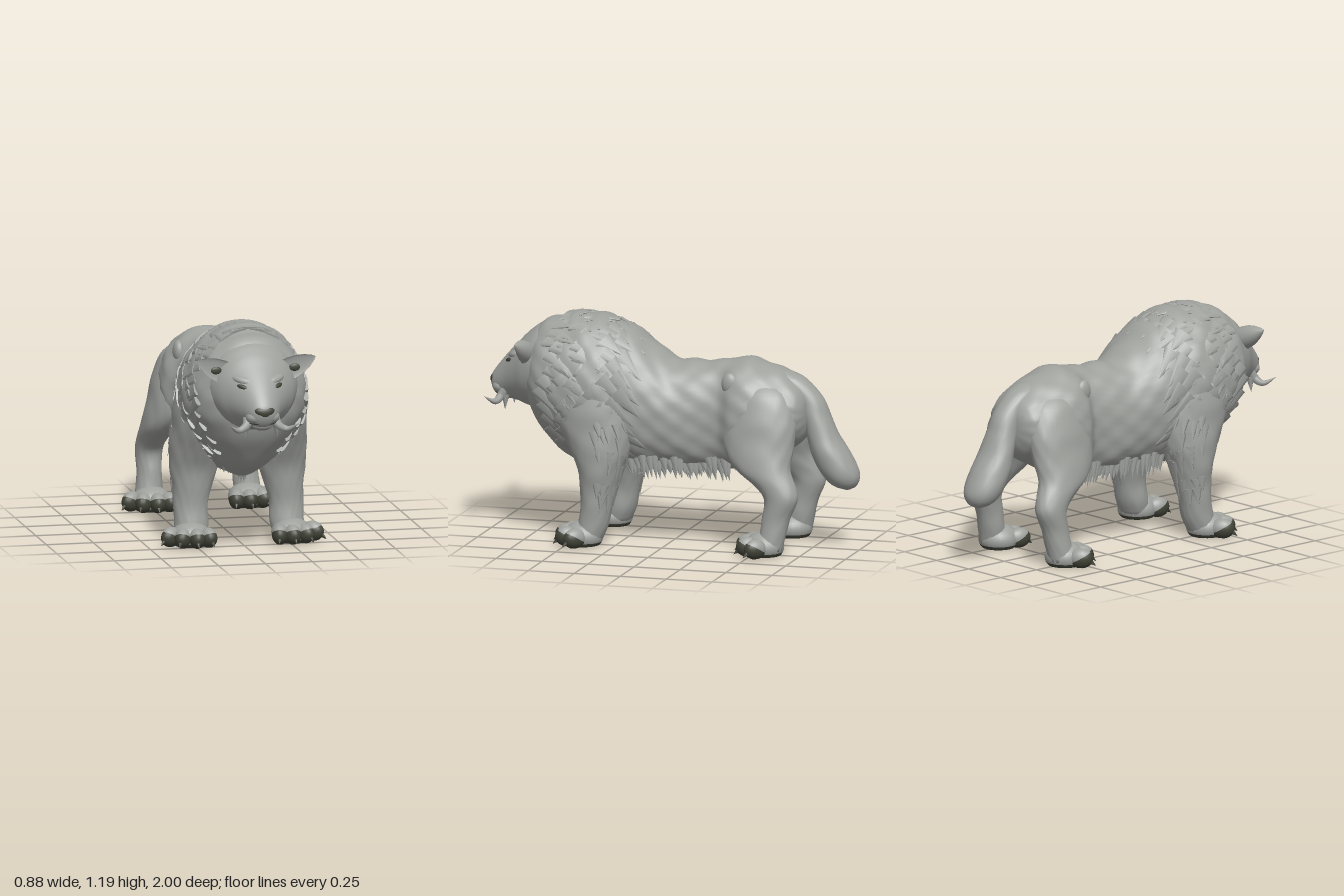
import * as THREE from 'three';
import { mergeGeometries } from 'three/addons/utils/BufferGeometryUtils.js';

const V = (x, y, z) => new THREE.Vector3(x, y, z);
let seed = 7;
const rnd = () => (seed = (seed * 16807) % 2147483647) / 2147483647;

// Smooth interpolation of a table of rows [t, aMin, aMax, bMin, bMax, keel]
function sample(rows, t) {
  let i = 0;
  while (i < rows.length - 2 && t > rows[i + 1][0]) i++;
  const p = rows[i], q = rows[i + 1], o = rows[Math.max(i - 1, 0)], r = rows[Math.min(i + 2, rows.length - 1)];
  const h = q[0] - p[0], u = (t - p[0]) / h, u2 = u * u, u3 = u2 * u;
  return [1, 2, 3, 4, 5].map(k => {
    const [pk, qk, ok, rk] = [p, q, o, r].map(row => row[k] ?? 0);
    const m0 = (qk - ok) / (q[0] - o[0]) * h, m1 = (rk - pk) / (r[0] - p[0]) * h;
    return (2 * u3 - 3 * u2 + 1) * pk + (u3 - 2 * u2 + u) * m0 + (3 * u2 - 2 * u3) * qk + (u3 - u2) * m1;
  });
}

// Point on a loft; axis z uses (x, y) rings, axis y uses (z, x) rings.
// A positive keel narrows the lower half of a ring, a negative one fills it out.
function surf(rows, axis, t, ang, bump = 0, scale = 1) {
  const [a0, a1, b0, b1, keel] = sample(rows, t);
  const s = Math.sin(ang), low = Math.min(s, 0), c = Math.cos(ang) * (1 - keel * low * low);
  const k = scale * (1 + bump * (Math.sin(31 * t + 5 * s) * Math.sin(9 * s + 8 * t) + 0.6 * Math.sin(17 * s - 40 * t)));
  const a = (a0 + a1) / 2 + (a1 - a0) / 2 * c * k, b = (b0 + b1) / 2 + (b1 - b0) / 2 * s * k;
  return axis === 'z' ? V(a, b, t) : V(b, t, a);
}

function loft(rows, axis, bump = 0, nt = 44, na = 40) {
  const pos = [], idx = [], t0 = rows[0][0], t1 = rows[rows.length - 1][0];
  for (let i = 0; i <= nt + 2; i++) {
    const t = t0 + (t1 - t0) * Math.min(Math.max(i - 1, 0), nt) / nt;
    const shrink = i === 0 || i === nt + 2 ? 0.001 : 1;
    for (let j = 0; j < na; j++) {
      pos.push(...surf(rows, axis, t, j / na * Math.PI * 2, bump, shrink).toArray());
      if (i === nt + 2) continue;
      const a = i * na + j, b = i * na + (j + 1) % na;
      idx.push(a, b, b + na, a, b + na, a + na);
    }
  }
  const g = new THREE.BufferGeometry();
  g.setAttribute('position', new THREE.Float32BufferAttribute(pos, 3));
  g.setIndex(idx);
  g.computeVertexNormals();
  return g;
}

function mirror(geo) {
  const g = geo.clone().scale(-1, 1, 1), ix = g.index.array;
  for (let i = 0; i < ix.length; i += 3) [ix[i], ix[i + 1]] = [ix[i + 1], ix[i]];
  return g;
}

// Cone from base to tip, flattened along the outward direction
function spike(base, tip, r, flat = 1, out = V(0, 0, 1), sides = 8) {
  const d = tip.clone().sub(base), len = d.length();
  d.normalize();
  const side = d.clone().cross(out).normalize(), n = side.clone().cross(d);
  const g = new THREE.ConeGeometry(r, len, sides, 1).translate(0, len / 2, 0).scale(1, 1, flat);
  return g.applyMatrix4(new THREE.Matrix4().makeBasis(side, d, n).setPosition(base));
}

// Ellipsoid, or a band of one between two polar angles, tilted about x
function blob(x, y, z, rx, ry, rz, from = 0, to = Math.PI, tilt = 0, yaw = 0, roll = 0) {
  return new THREE.SphereGeometry(1, 20, 12, 0, Math.PI * 2, from, to - from)
    .rotateX(tilt).scale(rx, ry, rz).rotateZ(roll).rotateY(yaw).translate(x, y, z);
}

// Tapered curved tube
function horn(points, r) {
  const curve = new THREE.CatmullRomCurve3(points), n = 16, m = 10;
  const g = new THREE.TubeGeometry(curve, n, r, m), p = g.attributes.position;
  for (let i = 0; i <= n; i++) {
    const c = curve.getPointAt(i / n), k = Math.max(0.03, 1 - Math.pow(i / n, 1.6));
    for (let j = 0; j <= m; j++) {
      const v = V().fromBufferAttribute(p, i * (m + 1) + j).sub(c).multiplyScalar(k).add(c);
      p.setXYZ(i * (m + 1) + j, v.x, v.y, v.z);
    }
  }
  g.computeVertexNormals();
  return g;
}

const BODY = [
  [-0.735, -0.09, 0.09, 0.64, 0.81], [-0.7, -0.165, 0.165, 0.57, 0.865], [-0.6, -0.205, 0.205, 0.5, 0.935],
  [-0.45, -0.243, 0.243, 0.43, 0.985, -0.1], [-0.36, -0.24, 0.24, 0.4, 0.99, -0.2], [-0.28, -0.19, 0.19, 0.395, 0.975, -0.3],
  [-0.1, -0.22, 0.22, 0.395, 0.96, -0.3], [0, -0.24, 0.24, 0.395, 0.97, -0.25], [0.1, -0.265, 0.265, 0.39, 1.03, -0.2],
  [0.2, -0.295, 0.295, 0.385, 1.1], [0.35, -0.335, 0.335, 0.365, 1.165, 0.25], [0.5, -0.335, 0.335, 0.375, 1.183, 0.4],
  [0.6, -0.31, 0.31, 0.435, 1.165, 0.4], [0.69, -0.275, 0.275, 0.53, 1.13, 0.35], [0.75, -0.2, 0.2, 0.62, 1.07, 0.2], [0.78, -0.1, 0.1, 0.7, 0.98]];
const HEAD = [
  [0.6, -0.24, 0.24, 0.68, 1.1], [0.7, -0.24, 0.24, 0.66, 1.12], [0.78, -0.205, 0.205, 0.67, 1.07],
  [0.84, -0.158, 0.158, 0.69, 1.01], [0.9, -0.112, 0.112, 0.7, 0.945], [0.95, -0.08, 0.08, 0.71, 0.885],
  [0.98, -0.056, 0.056, 0.735, 0.845], [0.995, -0.025, 0.025, 0.77, 0.82]];
const TAIL = [
  [0.32, -0.95, -0.92, -0.02, 0.02], [0.34, -0.985, -0.86, -0.065, 0.065], [0.4, -1, -0.8, -0.1, 0.1],
  [0.5, -0.955, -0.745, -0.11, 0.11], [0.6, -0.89, -0.72, -0.1, 0.1], [0.7, -0.845, -0.69, -0.085, 0.085],
  [0.8, -0.8, -0.64, -0.075, 0.075], [0.9, -0.7, -0.54, -0.07, 0.07], [0.935, -0.62, -0.52, -0.04, 0.04]];
const FORELEG = [
  [0.03, 0.32, 0.46, 0.18, 0.345], [0.1, 0.29, 0.45, 0.165, 0.345], [0.2, 0.27, 0.435, 0.165, 0.345],
  [0.3, 0.245, 0.44, 0.14, 0.35], [0.4, 0.215, 0.455, 0.11, 0.36], [0.5, 0.18, 0.5, 0.1, 0.363],
  [0.65, 0.17, 0.57, 0.1, 0.353], [0.8, 0.2, 0.59, 0.1, 0.335], [0.92, 0.3, 0.54, 0.12, 0.28], [0.97, 0.38, 0.46, 0.16, 0.22]];
const HINDLEG = [
  [0.03, -0.66, -0.52, 0.2, 0.34], [0.12, -0.68, -0.54, 0.19, 0.33], [0.2, -0.7, -0.55, 0.19, 0.32],
  [0.3, -0.74, -0.56, 0.18, 0.325], [0.36, -0.73, -0.51, 0.17, 0.32], [0.45, -0.69, -0.39, 0.13, 0.315],
  [0.55, -0.695, -0.325, 0.08, 0.295], [0.7, -0.7, -0.32, 0.03, 0.262], [0.83, -0.65, -0.36, 0.02, 0.215], [0.9, -0.56, -0.43, 0.04, 0.14]];

export function createModel() {
  const root = new THREE.Group();
  root.name = 'maneBeast';
  const fur = new THREE.MeshStandardMaterial({ color: 0x9fa19d });
  fur.name = 'grey fur';
  const dark = new THREE.MeshStandardMaterial({ color: 0x424438 });
  dark.name = 'dark skin';
  const add = (name, geo, mat = fur) => {
    const mesh = new THREE.Mesh(geo, mat);
    mesh.name = name;
    root.add(mesh);
  };
  const pair = (name, geo, mat) => {
    add('left' + name, geo, mat);
    add('right' + name, mirror(geo), mat);
  };

  // Torso, head and tail
  add('torso', loft(BODY, 'z', 0.016, 90, 64));
  add('head', loft(HEAD, 'z'));
  add('tail', loft(TAIL, 'y', 0.01));

  // Face
  pair('MuzzlePad', blob(0.038, 0.768, 0.935, 0.052, 0.038, 0.047));
  pair('Brow', blob(0.078, 0.945, 0.838, 0.07, 0.026, 0.04, 0, Math.PI, 0, 0.6, 0.2));
  pair('Eye', blob(0.09, 0.916, 0.877, 0.036, 0.013, 0.014, 0, Math.PI, 0, 0.6, 0.25), dark);
  add('chin', blob(0, 0.722, 0.92, 0.055, 0.03, 0.045));
  const nose = new THREE.SphereGeometry(1, 20, 12).scale(0.05, 0.032, 0.024), np = nose.attributes.position;
  for (let i = 0; i < np.count; i++) np.setX(i, np.getX(i) * (1 + np.getY(i) * 14));
  nose.computeVertexNormals();
  add('nose', nose.translate(0, 0.797, 0.977), dark);
  pair('MouthLine', new THREE.TubeGeometry(new THREE.CatmullRomCurve3(
    [V(0, 0.75, 0.977), V(0.035, 0.737, 0.966), V(0.075, 0.74, 0.93)]), 12, 0.006, 6), dark);
  pair('Tusk', horn([V(0.07, 0.765, 0.9), V(0.085, 0.72, 0.925), V(0.13, 0.7, 0.94), V(0.185, 0.735, 0.985)], 0.026));
  pair('Fang', spike(V(0.075, 0.73, 0.9), V(0.085, 0.65, 0.9), 0.022));

  // Ears, hollowed at the front
  const ear = new THREE.LatheGeometry([[0.06, -0.05], [0.06, 0], [0.053, 0.05], [0.036, 0.095], [0.015, 0.13], [0, 0.145]]
    .map(p => new THREE.Vector2(...p)), 24);
  const ep = ear.attributes.position;
  for (let i = 0; i < ep.count; i++) if (ep.getZ(i) > 0) ep.setZ(i, -ep.getZ(i) * 0.2);
  ear.computeVertexNormals();
  pair('Ear', ear.rotateZ(-1.13).rotateY(-0.1).translate(0.187, 0.985, 0.768));
  pair('InnerEar', blob(0.21, 0.988, 0.76, 0.03, 0.02, 0.009), dark);

  // Mane locks lying flat and sweeping back and down
  const locks = [];
  [0.62, 0.55, 0.46, 0.36, 0.25].forEach((z, row) => {
    for (let a = -0.8 + (row % 2) * 0.12; a < 1.56; a += 0.2) {
      const zz = z + (rnd() - 0.5) * 0.08, aa = a + (rnd() - 0.5) * 0.1;
      const base = surf(BODY, 'z', zz, aa, 0, 0.975);
      const tip = surf(BODY, 'z', zz - 0.1 - rnd() * 0.07, aa - (0.2 + rnd() * 0.15) * Math.cos(aa), 0, 1.018);
      locks.push(spike(base, tip, 0.045 + rnd() * 0.015, 0.3, V(Math.cos(aa), Math.sin(aa), 0), 10));
    }
  });
  pair('ManeLocks', mergeGeometries(locks));

  // Ragged fringe along the belly and chest
  const fringe = [];
  for (let z = 0.22; z > -0.33; z -= 0.012) {
    const base = surf(BODY, 'z', z, -0.8 - rnd() * 0.3, 0, 0.96);
    fringe.push(spike(base, V(base.x + 0.008, 0.345 + rnd() * 0.05, z - 0.02), 0.026, 0.45, V(1, 0, 0)));
  }
  for (let i = 0; i < 12; i++) {
    const x = 0.008 + i * 0.01, z = 0.48 - rnd() * 0.18;
    fringe.push(spike(V(x, 0.45, z), V(x, 0.325 + i * 0.005 + rnd() * 0.02, z - 0.02), 0.028, 0.6));
  }
  pair('BellyFringe', mergeGeometries(fringe));

  // Legs with tufts behind
  pair('ForeLeg', loft(FORELEG, 'y', 0.016));
  pair('HindLeg', loft(HINDLEG, 'y', 0.014));
  pair('HipTuft', blob(0.162, 0.875, -0.345, 0.03, 0.06, 0.045));
  const tufts = [];
  for (let y = 0.68; y > 0.24; y -= 0.012) {
    const a = 1.7 + rnd() * 2, base = surf(FORELEG, 'y', y, a, 0, 0.94);
    tufts.push(spike(base, surf(FORELEG, 'y', y - 0.08 - rnd() * 0.03, a, 0, 1.05), 0.03, 0.35, V(Math.sin(a), 0, Math.cos(a))));
  }
  pair('ForeLegTufts', mergeGeometries(tufts));

  // Paws: fanned toes with dark undersides and claws
  const toes = [[0.192, 0.495, -0.25], [0.255, 0.51, 0.05], [0.325, 0.49, 0.4], [0.378, 0.435, 0.85]];
  const paw = (name, dx, dz) => {
    const pad = [0.268, 0.045, 0.42, 0.105, 0.08, 0.105];
    const top = [blob(...pad, 0, 1.9)];
    const under = [blob(...pad, 1.9)];
    for (const [x, z, yaw] of toes) {
      top.push(blob(x, 0.05, z, 0.043, 0.053, 0.064, 0, 1.5, -0.6, yaw));
      under.push(blob(x, 0.05, z, 0.043, 0.053, 0.064, 1.5, Math.PI, -0.6, yaw));
      const sx = Math.sin(yaw), cz = Math.cos(yaw);
      under.push(spike(V(x + sx * 0.025, 0.055, z + cz * 0.025), V(x + sx * 0.085, 0.012, z + cz * 0.075), 0.027, 1, V(0, 1, 0)));
    }
    const finish = list => {
      const g = mergeGeometries(list), p = g.attributes.position;
      for (let i = 0; i < p.count; i++) p.setY(i, Math.max(p.getY(i), 0));
      return g.translate(dx, 0, dz);
    };
    pair(name + 'Paw', finish(top));
    pair(name + 'PadsAndClaws', finish(under), dark);
  };
  paw('Fore', 0, 0);
  paw('Hind', -0.01, -0.98);
  return root;
}
